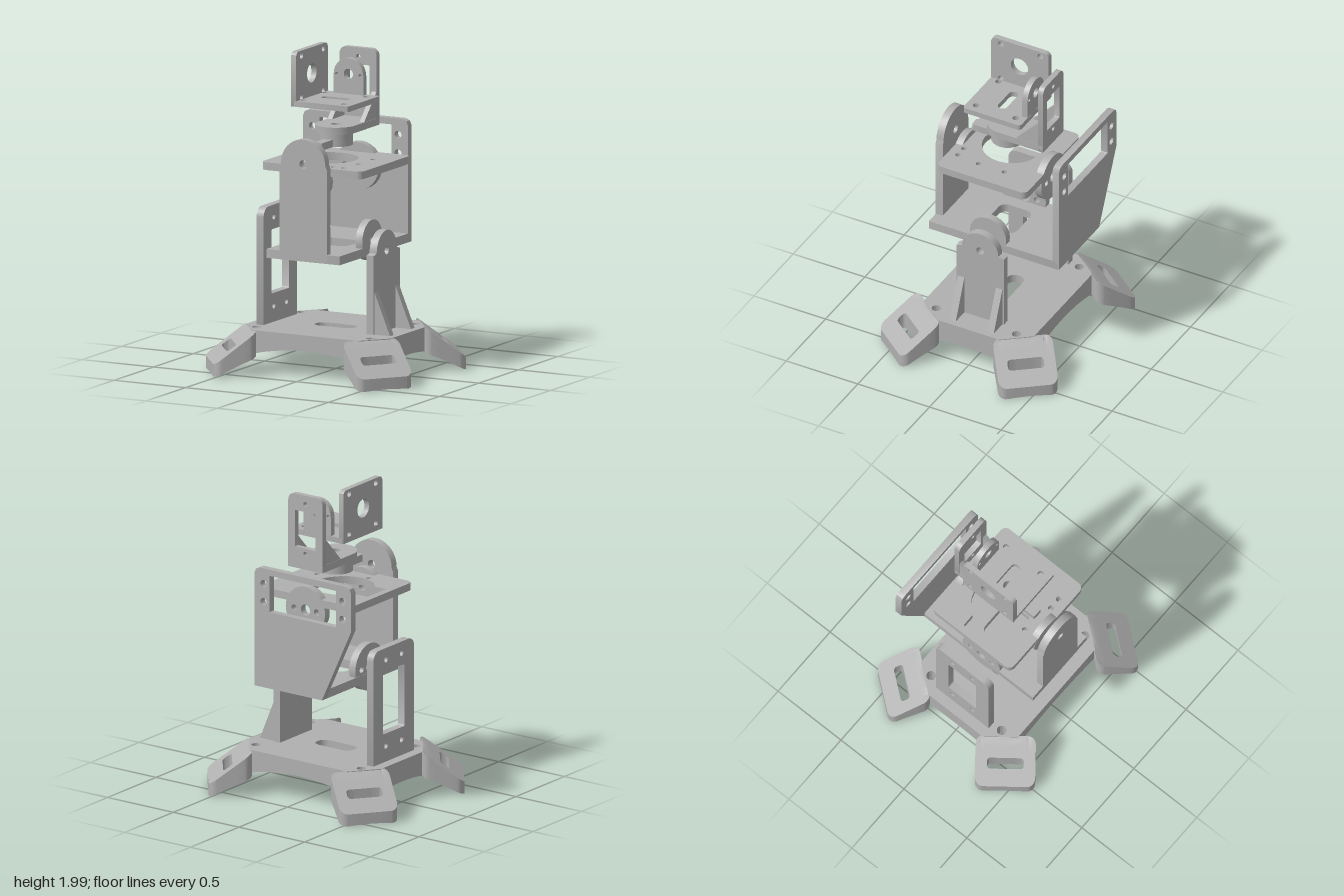
import * as THREE from 'three';
import { toCreasedNormals } from 'three/addons/utils/BufferGeometryUtils.js';

const grey = new THREE.MeshStandardMaterial({ color: 0xb0b0b0 });
grey.name = 'plain grey';

// ---- outline helpers ----
const circle = (x, y, r) => new THREE.Shape().absarc(x, y, r, 0, Math.PI * 2, false);

function roundRect(x0, y0, x1, y1, rBottom = 0.001, rTop = rBottom) {
  const s = new THREE.Shape(), h = Math.PI / 2;
  s.absarc(x1 - rBottom, y0 + rBottom, rBottom, -h, 0, false);
  s.absarc(x1 - rTop, y1 - rTop, rTop, 0, h, false);
  s.absarc(x0 + rTop, y1 - rTop, rTop, h, 2 * h, false);
  s.absarc(x0 + rBottom, y0 + rBottom, rBottom, 2 * h, 3 * h, false);
  return s;
}

const polygon = (pts) => new THREE.Shape(pts.map(([x, y]) => new THREE.Vector2(x, y)));

// upright with a narrower round head
function arch(w, y0, cy, r, drop) {
  const s = new THREE.Shape();
  s.moveTo(-w, y0);
  s.lineTo(w, y0);
  s.lineTo(w, cy - drop);
  s.absarc(0, cy, r, 0, Math.PI, false);
  s.lineTo(-w, cy - drop);
  s.closePath();
  return s;
}

function cut(shape, ...holes) {
  shape.holes.push(...holes);
  return shape;
}

// extrude an outline from a to b; outline axes: z -> (x,y), x -> (z,y), y -> (x,z)
function slab(shape, axis, a, b, curveSegments = 12) {
  const g = new THREE.ExtrudeGeometry(shape, { depth: b - a, bevelEnabled: false, curveSegments });
  if (axis === 'x') g.rotateY(-Math.PI / 2).translate(b, 0, 0);
  else if (axis === 'y') g.rotateX(Math.PI / 2).translate(0, b, 0);
  else g.translate(0, 0, a);
  return g;
}

// split every triangle in four
function subdivide(geometry, levels) {
  let p = Array.from(geometry.attributes.position.array);
  for (let l = 0; l < levels; l++) {
    const q = [];
    for (let i = 0; i < p.length; i += 9) {
      const [a, b, c] = [0, 3, 6].map((k) => p.slice(i + k, i + k + 3));
      const mid = (u, v) => u.map((n, k) => (n + v[k]) / 2);
      const ab = mid(a, b), bc = mid(b, c), ca = mid(c, a);
      q.push(...a, ...ab, ...ca, ...ab, ...b, ...bc, ...ca, ...bc, ...c, ...ab, ...bc, ...ca);
    }
    p = q;
  }
  const g = new THREE.BufferGeometry();
  g.setAttribute('position', new THREE.Float32BufferAttribute(p, 3));
  return g;
}

// unit-high slab stretched between a domed underside and a given top
function domed(shape, levels, top) {
  const g = subdivide(slab(shape, 'y', 0, 1, 6), levels), p = g.attributes.position;
  for (let i = 0; i < p.count; i++) {
    const x = p.getX(i), z = p.getZ(i);
    const low = Math.max(0, 0.233 - 0.35 * (x * x + z * z));
    p.setY(i, low + (top(x) - low) * p.getY(i));
  }
  return g;
}

export function createModel() {
  const model = new THREE.Group();
  const group = (name) => {
    const g = new THREE.Group();
    g.name = name;
    model.add(g);
    return g;
  };
  const add = (parent, name, geometry) => {
    const m = new THREE.Mesh(toCreasedNormals(geometry, 0.5), grey);
    m.name = name;
    parent.add(m);
    return m;
  };
  const part = (parent, name, shape, axis, a, b) => add(parent, name, slab(shape, axis, a, b));
  // round servo horns: the drilled one and the plain one
  const drilledHorn = (cy) => cut(circle(0, cy, 0.15), circle(0, cy, 0.035), circle(-0.085, cy, 0.02), circle(0.085, cy, 0.02));
  const plainHorn = (cy) => cut(circle(0, cy, 0.127), circle(0, cy, 0.025));

  // base with arched underside
  const base = group('base');
  const corners = [[1, 1], [-1, 1], [-1, -1], [1, -1]];
  const deck = polygon([[0.505, -0.215], [0.505, 0.215], [0.37, 0.385], [-0.37, 0.385],
    [-0.505, 0.215], [-0.505, -0.215], [-0.37, -0.385], [0.37, -0.385]]);
  cut(deck, roundRect(-0.14, -0.055, 0.14, 0.055, 0.05), ...corners.map(([x, z]) => circle(x * 0.4, z * 0.28, 0.03)));
  add(base, 'deck', domed(deck, 3, () => 0.28));

  // four slotted sloping feet
  const footShape = cut(roundRect(0.52, -0.185, 0.784, 0.185, 0.05), roundRect(0.637, -0.113, 0.693, 0.113, 0.02));
  const footGeometry = domed(footShape, 2, (r) => 0.279 - 0.75 * Math.max(0, r - 0.53));
  for (const [x, z] of corners) {
    add(base, 'foot', footGeometry).rotation.y = Math.atan2(-z * 0.618, x * 0.786);
  }

  // windowed upright on one side of the base
  const frame = roundRect(-0.21, 0.27, 0.21, 1.01, 0.001, 0.06);
  cut(frame, roundRect(-0.11, 0.46, 0.11, 0.86, 0.01));
  for (const z of [-0.08, 0.08]) for (const y of [0.38, 0.935]) cut(frame, circle(z, y, 0.018));
  part(base, 'servoFrame', frame, 'x', -0.44, -0.39);

  // round-headed pivot post with gussets
  part(base, 'pivotPost', cut(arch(0.165, 0.27, 0.78, 0.127, 0.01), circle(0, 0.78, 0.026)), 'x', 0.305, 0.355);
  for (const z of [-0.155, 0.11]) {
    part(base, 'postGusset', polygon([[0.35, 0.27], [0.468, 0.27], [0.35, 0.555]]), 'z', z, z + 0.045);
  }

  // lower cradle
  const cradle = group('lowerCradle');
  part(cradle, 'cradleFloor', cut(roundRect(-0.26, -0.49, 0.255, 0.413, 0.002),
    roundRect(-0.13, -0.11, 0.13, 0.11, 0.05)), 'y', 0.745, 0.8);
  part(cradle, 'cradleFront', cut(arch(0.165, 0.75, 1.35, 0.155, 0.02), circle(0, 1.35, 0.027)), 'z', 0.365, 0.415);
  const back = polygon([[-0.258, 0.745], [0.255, 0.745], [0.255, 1.47], [0.243, 1.498], [0.215, 1.51],
    [-0.44, 1.51], [-0.468, 1.498], [-0.48, 1.47], [-0.48, 1.225]]);
  cut(back, roundRect(-0.365, 1.235, 0.14, 1.47, 0.005));
  for (const x of [-0.415, 0.185]) for (const y of [1.295, 1.41]) cut(back, circle(x, y, 0.024));
  part(cradle, 'cradleBack', back, 'z', -0.495, -0.45);
  part(cradle, 'drilledHorn', drilledHorn(0.836), 'x', -0.258, -0.21);
  part(cradle, 'plainHorn', plainHorn(0.836), 'x', 0.207, 0.254);

  // upper platform with keyhole opening
  const platform = group('upperPlatform');
  const keyhole = new THREE.Path();
  const open = Math.PI - Math.asin(0.095 / 0.19);
  keyhole.absarc(-0.06, 0, 0.19, -open, open, false);
  keyhole.lineTo(-0.31, 0.095);
  keyhole.lineTo(-0.31, -0.095);
  keyhole.closePath();
  const board = cut(roundRect(-0.355, -0.315, 0.35, 0.312, 0.04), keyhole);
  for (const [x, z] of [[0.21, -0.09], [0.21, 0.09], [0.115, 0.245], [0.19, 0.245], [-0.095, 0.212]]) {
    cut(board, circle(x, z, 0.017));
  }
  part(platform, 'platformBoard', board, 'y', 1.27, 1.318);
  part(platform, 'drilledHorn', drilledHorn(1.23), 'z', -0.315, -0.267);
  part(platform, 'plainHorn', plainHorn(1.23), 'z', 0.268, 0.314);

  // turning neck with stop arm and tall back plate
  const neck = group('neck');
  part(neck, 'neckHub', cut(circle(0, 0, 0.105), circle(0, 0, 0.03)), 'y', 1.41, 1.495);
  part(neck, 'stopArm', roundRect(-0.033, 0.09, 0.033, 0.235, 0.001, 0.01), 'y', 1.41, 1.455);
  const tray = new THREE.Shape();
  tray.moveTo(-0.13, -0.313);
  tray.lineTo(0.13, -0.313);
  tray.absarc(0, 0, 0.13, 0, Math.PI, false);
  tray.closePath();
  part(neck, 'neckPlate', cut(tray, circle(0, 0, 0.03)), 'y', 1.49, 1.535);
  part(neck, 'neckBack', cut(roundRect(-0.13, 1.49, 0.13, 1.965, 0.001, 0.045),
    roundRect(-0.078, 1.625, 0.078, 1.86, 0.005), circle(0, 1.59, 0.015), circle(0, 1.91, 0.015)), 'z', -0.316, -0.28);
  for (const x of [-0.128, 0.096]) {
    part(neck, 'neckGusset', polygon([[-0.12, 1.53], [-0.285, 1.53], [-0.285, 1.705]]), 'x', x, x + 0.032);
  }

  // head bracket
  const head = group('head');
  const floor = cut(roundRect(-0.2, -0.195, 0.2, 0.207, 0.02), roundRect(-0.095, -0.03, 0.095, 0.03, 0.028));
  const side = cut(roundRect(-0.193, 1.66, 0.207, 2, 0.002, 0.03), circle(0.01, 1.84, 0.06));
  for (const z of [-0.13, 0.145]) {
    for (const x of [-0.145, 0.14]) cut(floor, circle(x, z, 0.021));
    for (const y of [1.71, 1.97]) cut(side, circle(z - 0.005, y - 0.002, 0.019));
  }
  part(head, 'headFloor', floor, 'y', 1.66, 1.695);
  part(head, 'headSide', side, 'x', -0.2, -0.164);
  part(head, 'headEar', cut(arch(0.105, 1.67, 1.815, 0.103, 0), circle(0, 1.82, 0.032),
    circle(-0.082, 1.815, 0.011), circle(0.082, 1.815, 0.011)), 'z', -0.194, -0.157);

  return model;
}
